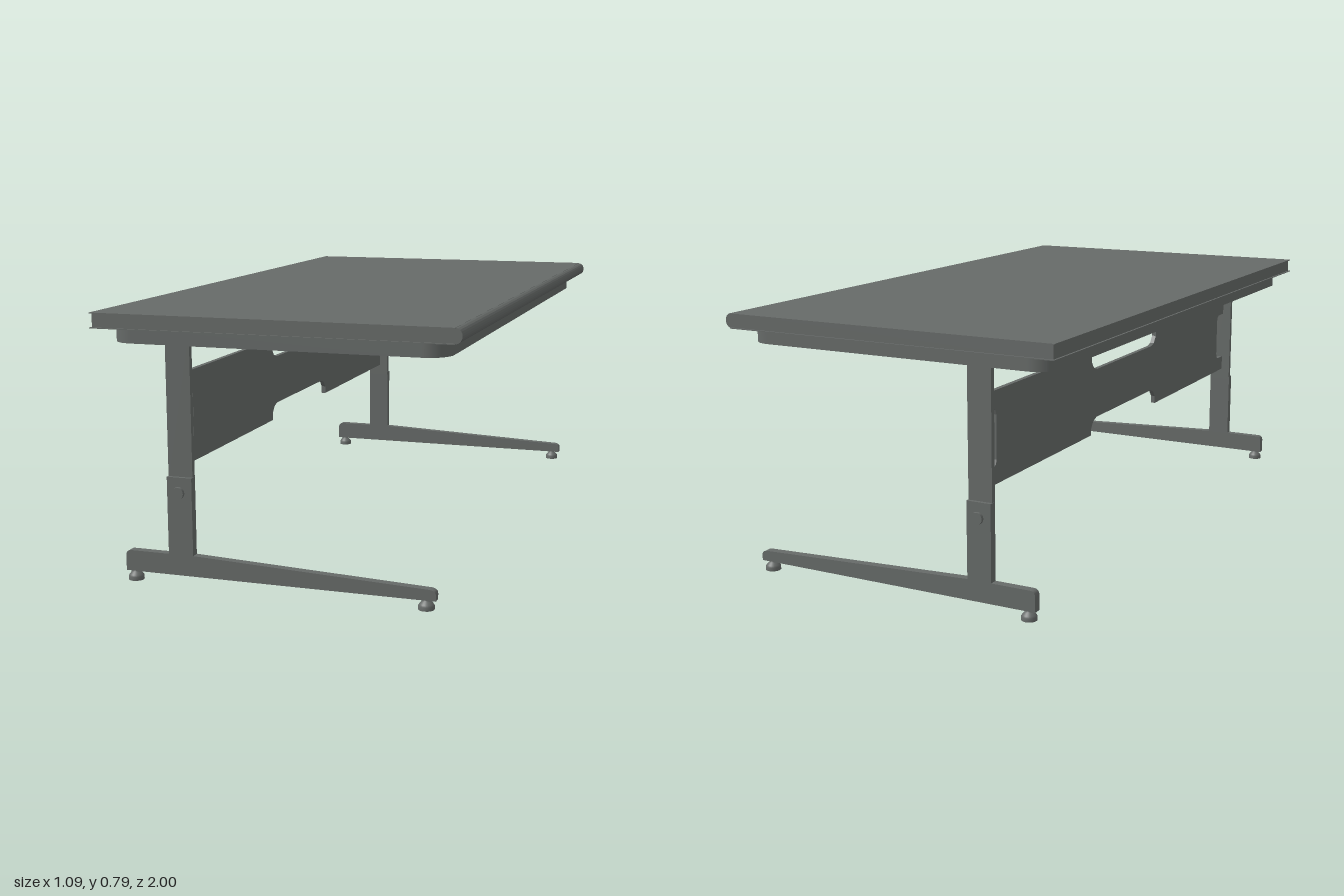
import * as THREE from 'three';

const grey = new THREE.MeshStandardMaterial({ color: 0x666a68 });
grey.name = 'graphite grey';

function part(name, geometry, x = 0, y = 0, z = 0) {
  const mesh = new THREE.Mesh(geometry, grey);
  mesh.name = name;
  mesh.position.set(x, y, z);
  return mesh;
}

// Extrude a shape along z, centred on z = 0
function slab(shape, depth) {
  const g = new THREE.ExtrudeGeometry(shape, { depth, bevelEnabled: false, curveSegments: 10 });
  return g.translate(0, 0, -depth / 2);
}

function roundedRect(x0, y0, x1, y1, r) {
  const s = new THREE.Shape();
  s.absarc(x1 - r, y1 - r, r, 0, Math.PI / 2);
  s.absarc(x0 + r, y1 - r, r, Math.PI / 2, Math.PI);
  s.absarc(x0 + r, y0 + r, r, Math.PI, Math.PI * 1.5);
  s.absarc(x1 - r, y0 + r, r, Math.PI * 1.5, Math.PI * 2);
  s.closePath();
  return s;
}

// Top board: rounded user edge, square rear edge
function boardShape() {
  const s = new THREE.Shape();
  s.moveTo(-0.539, 0.745);
  s.lineTo(0.523, 0.745);
  s.bezierCurveTo(0.55, 0.748, 0.55, 0.787, 0.523, 0.79);
  s.lineTo(-0.539, 0.79);
  s.closePath();
  return s;
}

// Foot: tapers toward the user side
function footShape() {
  const s = new THREE.Shape();
  s.moveTo(-0.47, 0.028);
  s.lineTo(0.47, 0.028);
  s.lineTo(0.47, 0.045);
  s.quadraticCurveTo(0.47, 0.058, 0.452, 0.06);
  s.lineTo(-0.255, 0.09);
  s.lineTo(-0.452, 0.09);
  s.quadraticCurveTo(-0.47, 0.09, -0.47, 0.072);
  s.closePath();
  return s;
}

// Modesty panel: narrow waist, open handhold beside each column
function panelShape() {
  const half = [
    [0.22, 0.56], [0.243, 0.567], [0.26, 0.59], [0.26, 0.62], [0.945, 0.62], [0.945, 0.57],
    [0.892, 0.57], [0.88, 0.563], [0.875, 0.55], [0.875, 0.42], [0.88, 0.407], [0.892, 0.4],
    [0.945, 0.4], [0.945, 0.35], [0.26, 0.35], [0.26, 0.375], [0.243, 0.395], [0.22, 0.403],
  ];
  const mirrored = half.map(([x, y]) => [-x, y]).reverse();
  return new THREE.Shape([...half, ...mirrored].map(([x, y]) => new THREE.Vector2(x, y)));
}

function lathe(points, segments = 24) {
  return new THREE.LatheGeometry(points.map(([r, y]) => new THREE.Vector2(r, y)), segments);
}

// One leg, built for the +z side (side = 1) or the -z side (side = -1)
function leg(side) {
  const g = new THREE.Group();
  g.name = side > 0 ? 'frontLeg' : 'backLeg';
  const z = side * 0.955;
  g.add(part('foot', slab(footShape(), 0.025), 0, 0, z));
  g.add(part('lowerColumn', new THREE.BoxGeometry(0.077, 0.24, 0.025), -0.2935, 0.2, z));
  g.add(part('upperColumn', new THREE.BoxGeometry(0.075, 0.435, 0.016), -0.2935, 0.527, side * 0.949));

  // Height locking knob
  const stem = new THREE.CylinderGeometry(0.009, 0.009, 0.016, 16).rotateX(Math.PI / 2);
  const head = new THREE.CylinderGeometry(0.018, 0.018, 0.01, 24).rotateX(Math.PI / 2);
  g.add(part('knobStem', stem, -0.2935, 0.276, side * 0.971));
  g.add(part('knobHead', head, -0.2935, 0.276, side * 0.977));

  // Levelling pads
  for (const x of [-0.445, 0.44]) {
    const pad = lathe([[0, 0], [0.023, 0], [0.023, 0], [0.023, 0.011], [0.02, 0.016],
      [0.014, 0.023], [0.009, 0.026], [0.009, 0.032]]);
    g.add(part('levellingPad', pad, x, 0, z));
  }
  return g;
}

export function createModel() {
  const model = new THREE.Group();
  model.name = 'desk';

  // Board with thin lips overhanging its rear edge and both ends
  model.add(part('tableTop', slab(boardShape(), 1.988)));
  for (const y of [0.7889, 0.7461]) {
    model.add(part('edgeLip', new THREE.BoxGeometry(1.069, 0.0025, 2), -0.0105, y, 0));
  }

  // Supporting frame under the board: an open rounded ring
  const ring = roundedRect(-0.51, -0.957, 0.494, 0.957, 0.07);
  ring.holes.push(roundedRect(-0.5, -0.947, 0.484, 0.947, 0.06));
  model.add(part('underFrame', slab(ring, 0.047).rotateX(Math.PI / 2), 0, 0.7235, 0));

  const panel = slab(panelShape(), 0.014).rotateY(Math.PI / 2);
  model.add(part('modestyPanel', panel, -0.2935, 0, 0));

  model.add(leg(1), leg(-1));
  return model;
}
